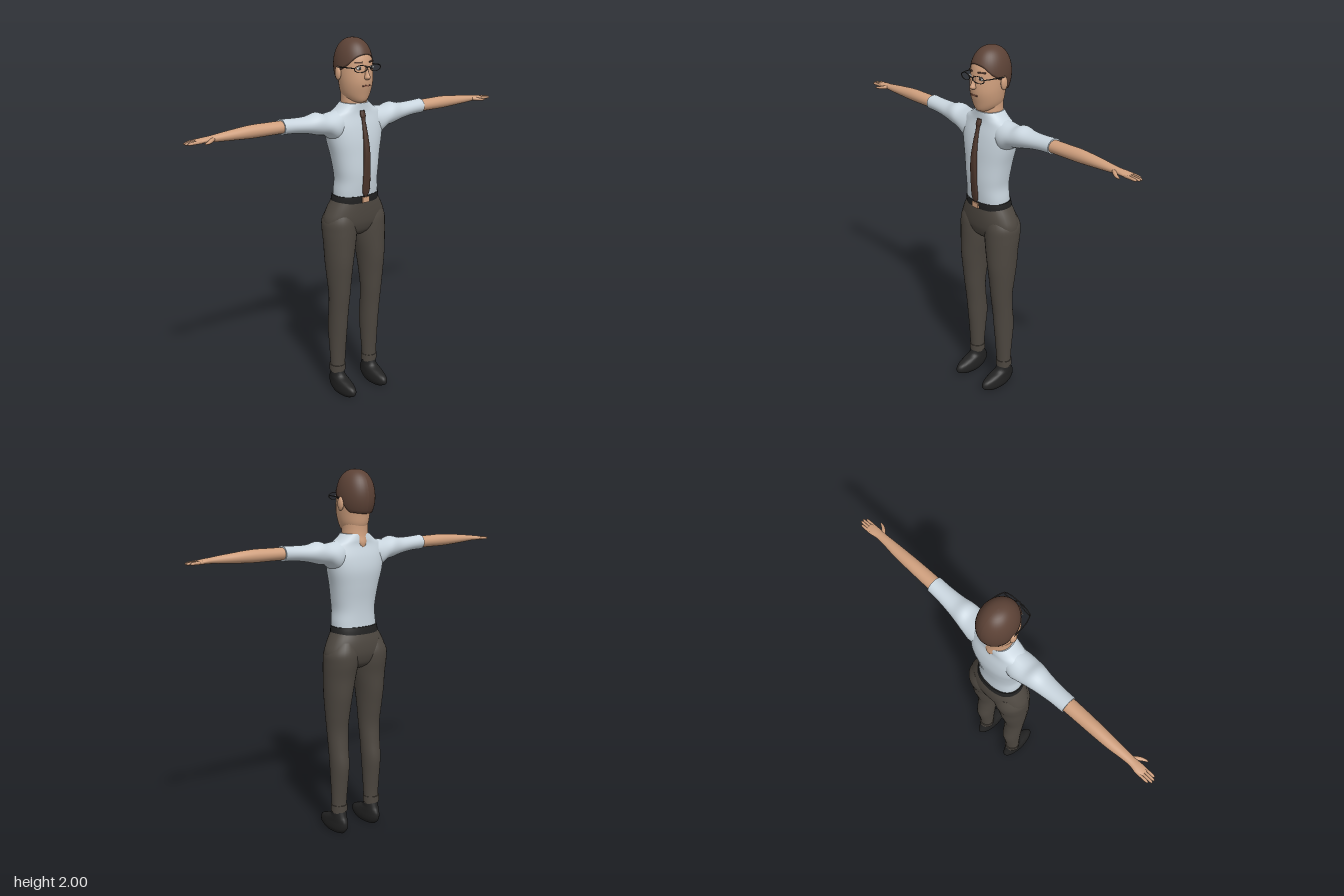
import * as THREE from 'three';

const mat = (name, color) => Object.assign(new THREE.MeshStandardMaterial({ color }), { name });

// Smooth skin over elliptical cross-sections; rows ascend: [y, xMin, xMax, zMin, zMax]
function loft(rows, { n = 28, power = 2, steps = 5 } = {}) {
  const rings = [];
  const blend = (a, b, c, d, t) => {
    const cubic = 3 * (b - c) + d - a;
    const square = 2 * a - 5 * b + 4 * c - d;
    return b + 0.5 * t * (c - a + t * (square + t * cubic));
  };
  for (let i = 0; i < rows.length - 1; i++) {
    const [a, b, c, d] = [-1, 0, 1, 2].map(k => rows[Math.min(Math.max(i + k, 0), rows.length - 1)]);
    const last = i === rows.length - 2 ? steps : steps - 1;
    for (let s = 0; s <= last; s++) rings.push(b.map((p, k) => blend(a[k], p, c[k], d[k], s / steps)));
  }
  const pos = [], idx = [];
  const round = v => Math.sign(v) * Math.pow(Math.abs(v), 2 / power);
  const addRing = ([y, x0, x1, z0, z1]) => {
    for (let j = 0; j < n; j++) {
      const a = j / n * Math.PI * 2;
      pos.push((x0 + x1) / 2 + (x1 - x0) / 2 * round(Math.cos(a)), y, (z0 + z1) / 2 + (z1 - z0) / 2 * round(Math.sin(a)));
    }
  };
  rings.forEach(addRing);
  for (let i = 0; i < rings.length - 1; i++) for (let j = 0; j < n; j++) {
    const p = i * n + j, q = i * n + (j + 1) % n;
    idx.push(p, p + n, q, q, p + n, q + n);
  }
  // Flat end caps
  [[rings[0], false], [rings[rings.length - 1], true]].forEach(([r, top]) => {
    const base = pos.length / 3;
    addRing(r);
    pos.push((r[1] + r[2]) / 2, r[0], (r[3] + r[4]) / 2);
    for (let j = 0; j < n; j++) {
      const p = base + j, q = base + (j + 1) % n;
      idx.push(base + n, top ? q : p, top ? p : q);
    }
  });
  const g = new THREE.BufferGeometry();
  g.setAttribute('position', new THREE.Float32BufferAttribute(pos, 3));
  g.setIndex(idx);
  g.computeVertexNormals();
  return g;
}

// Same loft laid along x; rows: [x, yMin, yMax, zMin, zMax]
const loftX = (rows, opts) => loft(rows.map(([x, y0, y1, z0, z1]) => [x, -y1, -y0, z0, z1]), opts).rotateZ(-Math.PI / 2);

function mirrored(geometry) {
  const g = geometry.clone().scale(-1, 1, 1), ix = g.index.array;
  for (let i = 0; i < ix.length; i += 3) [ix[i], ix[i + 1]] = [ix[i + 1], ix[i]];
  return g;
}

const ball = (x, y, z, rx, ry, rz) => new THREE.SphereGeometry(1, 20, 14).scale(rx, ry, rz).translate(x, y, z);
const box = (x, y, z, w, h, d, turn = 0) => new THREE.BoxGeometry(w, h, d).rotateY(turn).translate(x, y, z);
const tube = (points, r) => new THREE.TubeGeometry(
  new THREE.CatmullRomCurve3(points.map(p => new THREE.Vector3(...p))), 12, r, 6);

// Hair cap whose lower edge drops from the forehead to the nape
function hairCap() {
  const edge = [[-1, 1.775], [-0.4, 1.785], [-0.12, 1.83], [0.3, 1.85], [0.6, 1.875], [0.85, 1.91], [1, 1.922]];
  const edgeAt = c => {
    const i = Math.max(1, edge.findIndex(e => e[0] >= c - 1e-6));
    const [a, b] = [edge[i - 1], edge[i]];
    return a[1] + (b[1] - a[1]) * (c - a[0]) / (b[0] - a[0]);
  };
  const rows = 18;
  const g = new THREE.SphereGeometry(1, 40, rows, 0, Math.PI * 2, 0, 3), p = g.attributes.position;
  for (let i = 0; i < p.count; i++) {
    const row = Math.floor(i / 41), a = (i % 41) / 40 * Math.PI * 2;
    // The last row turns inwards to close the rim
    const f = Math.min(row / (rows - 1), 1), inset = row === rows ? 0.86 : 1;
    const theta = f * Math.acos((edgeAt(-Math.cos(a)) - 1.86) / 0.14);
    const r = Math.pow(Math.sin(theta), 0.85) * inset;
    p.setXYZ(i, -Math.sin(a) * r * 0.096, 1.86 + 0.14 * Math.cos(theta), -0.022 - Math.cos(a) * r * 0.116);
  }
  g.computeVertexNormals();
  return g;
}

export function createModel() {
  const model = new THREE.Group();
  const skin = mat('skin', 0xcf9f7d), hair = mat('hair', 0x5c4236), shirt = mat('shirt', 0xc9d5de);
  const trousers = mat('trousers', 0x4d4740), black = mat('shoe black', 0x222222), tieBrown = mat('tie brown', 0x4b352b);
  const frame = mat('glasses frame', 0x3a3634), white = mat('eye white', 0xd8dcdc), lip = mat('lip', 0x8c5a48);
  hair.side = THREE.DoubleSide;

  const add = (name, geometry, material) => {
    const m = new THREE.Mesh(geometry, material);
    m.name = name;
    model.add(m);
  };
  const pair = (name, geometry, material) => {
    add('left' + name, geometry, material);
    add('right' + name, mirrored(geometry), material);
  };

  // Head
  add('head', loft([
    [1.672, -0.03, 0.03, -0.04, 0.055], [1.684, -0.052, 0.052, -0.07, 0.073], [1.72, -0.074, 0.074, -0.09, 0.085],
    [1.78, -0.086, 0.086, -0.1, 0.098], [1.85, -0.09, 0.09, -0.118, 0.094], [1.91, -0.088, 0.088, -0.118, 0.082],
    [1.96, -0.065, 0.065, -0.09, 0.05], [1.985, -0.02, 0.02, -0.04, 0]]), skin);
  add('neck', loft([
    [1.58, -0.02, 0.02, -0.085, 0.02], [1.62, -0.045, 0.045, -0.096, 0.04], [1.66, -0.068, 0.068, -0.088, 0.053],
    [1.7, -0.069, 0.069, -0.086, 0.053], [1.78, -0.07, 0.07, -0.09, 0.05]]), skin);
  add('hair', hairCap(), hair);
  pair('Ear', ball(0.096, 1.825, -0.022, 0.013, 0.036, 0.021), skin);
  add('nose', loft([[1.797, -0.008, 0.008, 0.08, 0.106], [1.808, -0.016, 0.016, 0.08, 0.12],
    [1.83, -0.01, 0.01, 0.08, 0.112], [1.865, -0.007, 0.007, 0.07, 0.098]], { n: 14 }), skin);
  add('mouth', box(0, 1.766, 0.0955, 0.046, 0.007, 0.007), lip);
  pair('Eye', ball(0.038, 1.856, 0.083, 0.018, 0.009, 0.006), white);
  pair('Pupil', ball(0.037, 1.856, 0.0885, 0.007, 0.007, 0.003), frame);
  pair('Eyebrow', box(0.04, 1.885, 0.079, 0.042, 0.007, 0.009, 0.5), hair);

  // Glasses
  pair('Rim', new THREE.TorusGeometry(1, 0.09, 6, 28).scale(0.036, 0.018, 0.03).rotateY(0.15).translate(0.047, 1.857, 0.108), frame);
  add('glassesBridge', tube([[-0.013, 1.861, 0.112], [0, 1.865, 0.115], [0.013, 1.861, 0.112]], 0.003), frame);
  pair('Temple', tube([[0.082, 1.862, 0.103], [0.097, 1.862, 0.06], [0.1, 1.856, -0.025]], 0.0028), frame);

  // Shirt
  add('shirtBody', loft([
    [1.15, -0.128, 0.128, -0.098, 0.083], [1.2, -0.127, 0.127, -0.096, 0.09], [1.26, -0.121, 0.121, -0.096, 0.096],
    [1.32, -0.128, 0.128, -0.1, 0.098], [1.4, -0.142, 0.142, -0.11, 0.094], [1.48, -0.162, 0.162, -0.117, 0.088],
    [1.55, -0.172, 0.172, -0.108, 0.076], [1.61, -0.158, 0.158, -0.09, 0.06], [1.64, -0.112, 0.112, -0.088, 0.057],
    [1.67, -0.074, 0.074, -0.084, 0.057]], { n: 36, power: 2.3 }), shirt);
  pair('Sleeve', loftX([
    [0.06, 1.5, 1.648, -0.07, 0.04], [0.13, 1.475, 1.634, -0.092, 0.06], [0.19, 1.512, 1.627, -0.088, 0.058],
    [0.24, 1.522, 1.64, -0.08, 0.052], [0.3, 1.538, 1.627, -0.07, 0.042], [0.38, 1.55, 1.627, -0.062, 0.034],
    [0.452, 1.553, 1.632, -0.06, 0.032]]), shirt);
  add('tie', loft([
    [1.172, -0.004, 0.004, 0.08, 0.095], [1.2, -0.021, 0.021, 0.08, 0.102], [1.27, -0.022, 0.022, 0.088, 0.108],
    [1.4, -0.018, 0.018, 0.085, 0.115], [1.5, -0.014, 0.014, 0.075, 0.1], [1.585, -0.01, 0.01, 0.06, 0.077],
    [1.605, -0.015, 0.015, 0.055, 0.076], [1.632, -0.013, 0.013, 0.045, 0.066]], { n: 16, power: 3 }), tieBrown);

  // Bare arms and hands
  pair('Forearm', loftX([
    [0.43, 1.56, 1.624, -0.052, 0.026], [0.52, 1.56, 1.625, -0.05, 0.025], [0.62, 1.56, 1.626, -0.048, 0.022],
    [0.72, 1.565, 1.618, -0.044, 0.018], [0.8, 1.57, 1.61, -0.036, 0.014], [0.85, 1.574, 1.604, -0.034, 0.012],
    [0.89, 1.575, 1.6, -0.041, 0.014], [0.925, 1.577, 1.594, -0.041, 0.012]]), skin);
  pair('Thumb', loftX([[0.825, 1.582, 1.598, -0.015, 0.005], [0.85, 1.577, 1.598, 0, 0.028],
    [0.875, 1.576, 1.592, 0.022, 0.042], [0.9, 1.578, 1.586, 0.038, 0.046]], { n: 12 }), skin);
  [0.965, 0.98, 0.98, 0.97].forEach((tip, i) => {
    const z = -0.034 + i * 0.0135;
    pair('Finger' + (i + 1), loftX([[0.9, 1.577, 1.595, z - 0.007, z + 0.007], [0.94, 1.577, 1.593, z - 0.007, z + 0.007],
      [tip - 0.008, 1.577, 1.59, z - 0.006, z + 0.006], [tip, 1.58, 1.586, z - 0.002, z + 0.002]], { n: 10, steps: 3 }), skin);
  });

  // Belt
  add('belt', loft([[1.138, -0.139, 0.139, -0.108, 0.087], [1.158, -0.137, 0.137, -0.106, 0.089],
    [1.178, -0.133, 0.133, -0.103, 0.09]], { n: 36, power: 2.2 }), black);
  add('buckle', box(0, 1.156, 0.091, 0.046, 0.03, 0.009), skin);

  // Trousers
  add('hips', loft([
    [0.945, -0.06, 0.06, -0.06, 0.035], [0.97, -0.13, 0.13, -0.095, 0.062], [1.01, -0.182, 0.182, -0.112, 0.078],
    [1.05, -0.187, 0.187, -0.118, 0.084], [1.1, -0.166, 0.166, -0.115, 0.086], [1.15, -0.136, 0.136, -0.103, 0.085]],
  { n: 36, power: 2.2 }), trousers);
  pair('Leg', loft([
    [0.12, 0.072, 0.153, -0.062, 0.019], [0.2, 0.068, 0.155, -0.064, 0.022], [0.3, 0.063, 0.158, -0.075, 0.03],
    [0.4, 0.058, 0.161, -0.085, 0.04], [0.5, 0.055, 0.164, -0.073, 0.048], [0.6, 0.05, 0.168, -0.067, 0.06],
    [0.7, 0.042, 0.176, -0.08, 0.07], [0.8, 0.03, 0.183, -0.096, 0.08], [0.9, 0.012, 0.188, -0.105, 0.082],
    [0.98, 0.001, 0.191, -0.119, 0.082], [1.04, 0.002, 0.187, -0.12, 0.078], [1.1, 0.03, 0.15, -0.1, 0.06]]), trousers);
  pair('Cuff', loft([[0.128, 0.067, 0.158, -0.068, 0.023], [0.166, 0.067, 0.158, -0.068, 0.024]], { steps: 1 }), trousers);

  // Shoes
  pair('Shoe', loft([
    [0, 0.082, 0.142, -0.06, 0.105], [0.02, 0.072, 0.152, -0.08, 0.137], [0.042, 0.069, 0.154, -0.091, 0.144],
    [0.064, 0.07, 0.153, -0.091, 0.128], [0.082, 0.072, 0.152, -0.084, 0.085], [0.102, 0.075, 0.15, -0.073, 0.035],
    [0.14, 0.076, 0.149, -0.06, 0.018]]), black);

  return model;
}
